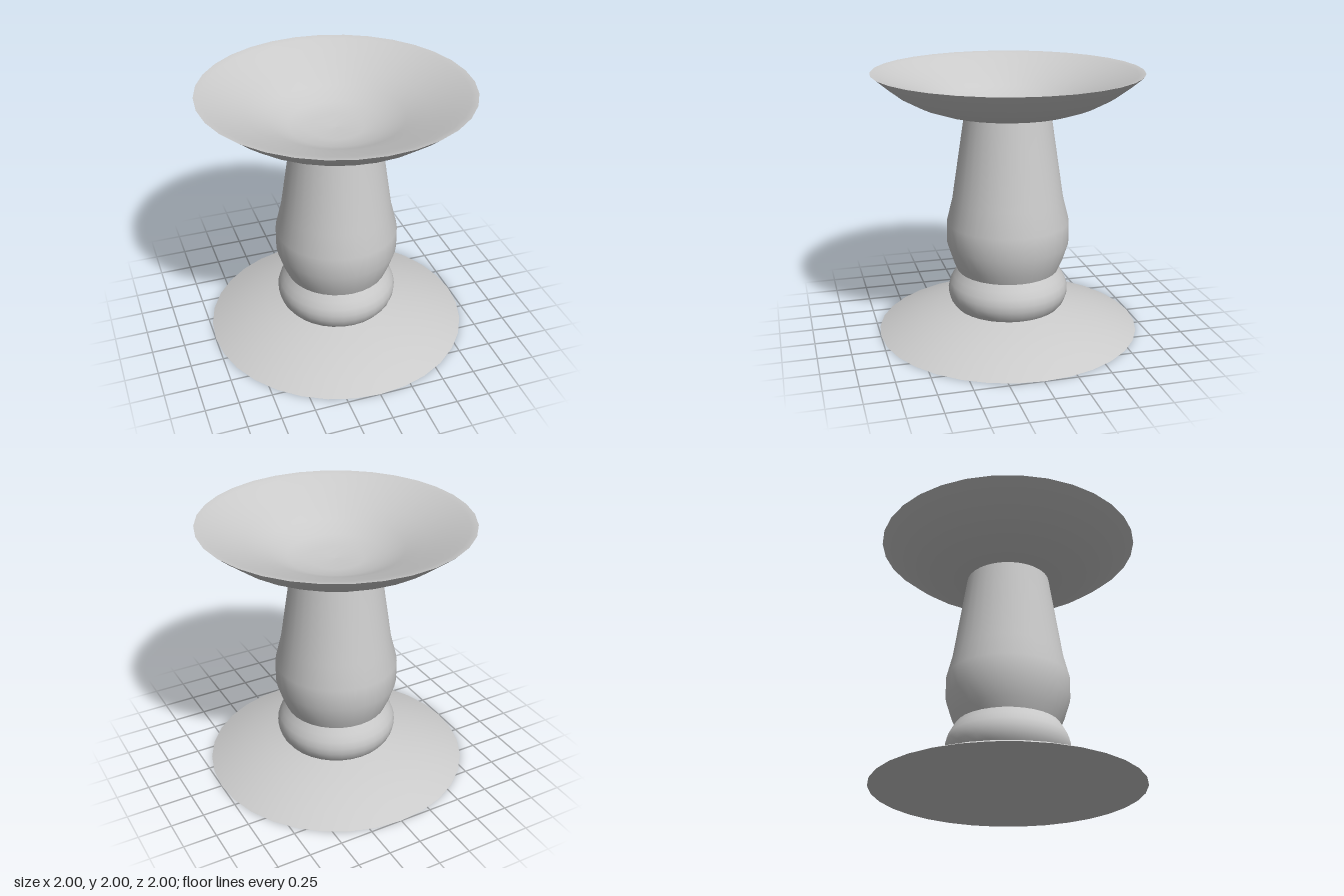
import * as THREE from 'three';

const SIDES = 32;

export function createModel() {
  const group = new THREE.Group();
  const material = new THREE.MeshStandardMaterial({ color: 0xcccccc });

  // Turned part: [radius, height] profile, bottom to top on the outside
  function turned(name, profile) {
    const points = profile.map(([r, y]) => new THREE.Vector2(r, y));
    const mesh = new THREE.Mesh(new THREE.LatheGeometry(points, SIDES), material);
    mesh.name = name;
    group.add(mesh);
  }

  // Flat underside and shallow domed foot
  turned('baseUnderside', [[0, 0], [1, 0]]);
  turned('base', [[1, 0], [0.86, 0.06], [0.7, 0.115], [0.55, 0.157], [0.4, 0.19]]);

  // Rounded ring between foot and column
  turned('collar', [[0.41, 0.19], [0.44, 0.23], [0.457, 0.28], [0.46, 0.33], [0.447, 0.38], [0.42, 0.43], [0.39, 0.48]]);

  // Bulging, tapered column
  turned('column', [[0.39, 0.48], [0.42, 0.55], [0.465, 0.69], [0.465, 0.86], [0.42, 1.04], [0.32, 1.7]]);

  // Bowl: outer shell, then lip and hollow running in to the centre
  turned('bowlOutside', [[0, 1.695], [0.32, 1.695], [0.54, 1.73], [0.67, 1.775], [0.81, 1.85], [0.91, 1.925], [1, 2]]);
  turned('bowlInside', [
    [1, 2], [0.95, 1.99], [0.85, 1.945], [0.65, 1.87], [0.5, 1.8],
    [0.35, 1.735], [0.2, 1.71], [0, 1.703],
  ]);

  return group;
}
